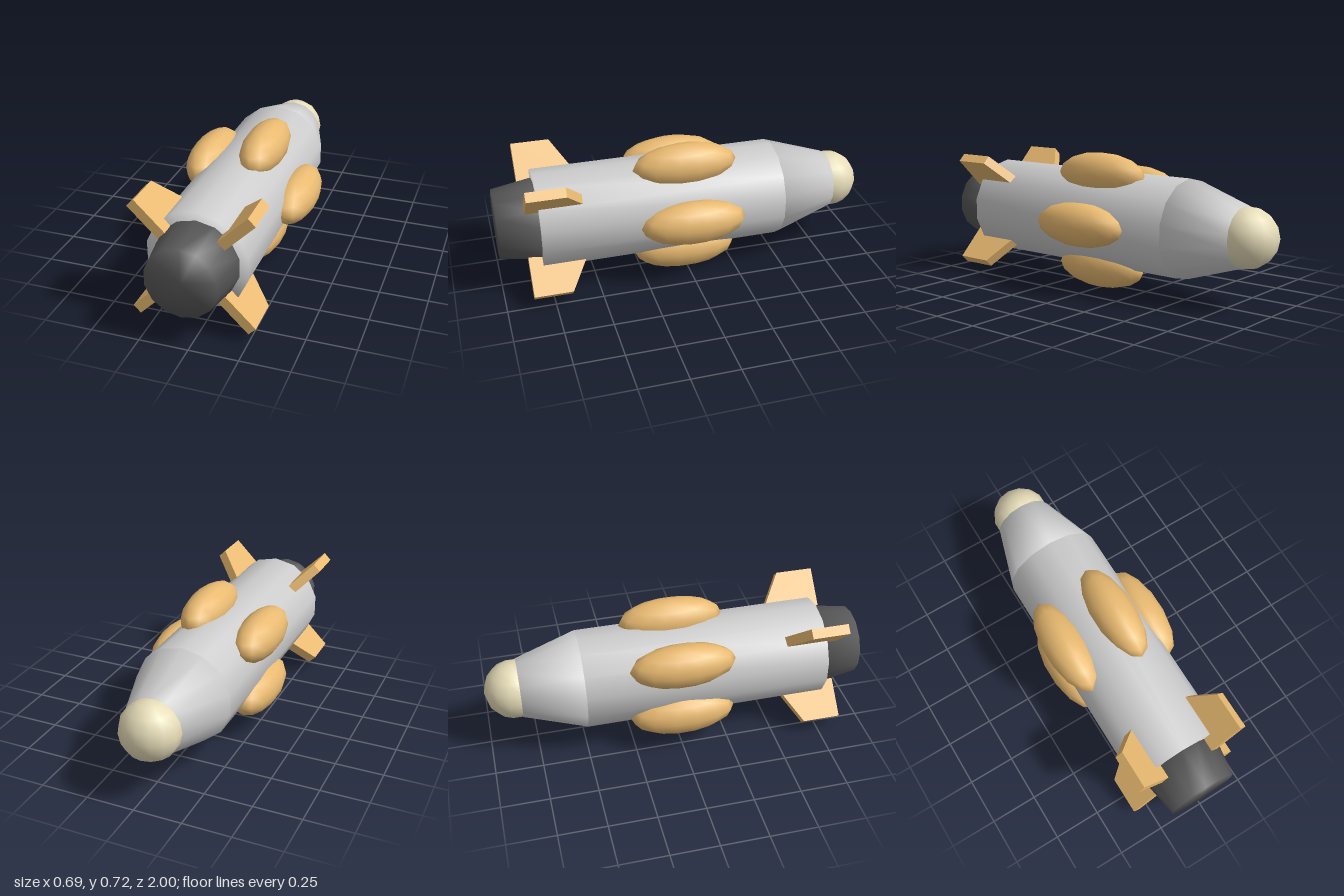
import * as THREE from 'three';
import { mergeVertices } from 'three/addons/utils/BufferGeometryUtils.js';

const SIDES = 14;
const AXIS = { x: -0.025, y: 0.366 };

// One shared normal per corner, so shading blends over every edge
function soften(geometry) {
  geometry.deleteAttribute('normal');
  geometry.deleteAttribute('uv');
  const merged = mergeVertices(geometry, 1e-4);
  merged.computeVertexNormals();
  return merged;
}

function material(color, flatShading = false) {
  return new THREE.MeshStandardMaterial({ color, flatShading });
}

export function createModel() {
  const model = new THREE.Group();
  const hull = material(0xcccccc);
  const dark = material(0x585858);
  const cream = material(0xe6dcb8);
  const amber = material(0xe8b970);
  const amberFlat = material(0xe8b970, true);

  function add(name, geometry, mat, x, y, z) {
    const mesh = new THREE.Mesh(geometry, mat);
    mesh.name = name;
    mesh.position.set(x, y, z);
    model.add(mesh);
    return mesh;
  }

  // Capped tube along z, from zBack (radius rBack) to zFront (radius rFront)
  function section(name, rBack, rFront, zBack, zFront, mat) {
    const g = new THREE.CylinderGeometry(rBack, rFront, zFront - zBack, SIDES);
    g.rotateX(-Math.PI / 2);
    add(name, soften(g), mat, AXIS.x, AXIS.y, (zBack + zFront) / 2);
  }

  // Ball with its poles on y and a corner on the z axis
  function ball(rx, ry, rz) {
    const g = new THREE.SphereGeometry(1, SIDES, 8);
    g.rotateY(Math.PI / 2);
    g.scale(rx, ry, rz);
    return soften(g);
  }

  // Fuselage
  section('body', 0.26, 0.26, -0.5, 0.79, hull);
  section('shoulderCone', 0.157, 0.26, -0.82, -0.5, hull);
  section('nozzle', 0.22, 0.182, 0.76, 1, dark);
  add('noseBall', ball(0.155, 0.153, 0.155), cream, AXIS.x, AXIS.y, -0.845);

  // Five pods in a ring around the body
  const podGeometry = ball(0.113, 0.115, 0.278);
  for (let i = 0; i < 5; i++) {
    const a = (i * Math.PI * 2) / 5;
    add('pod' + (i + 1), podGeometry, amber,
      AXIS.x + 0.26 * Math.cos(a), AXIS.y + 0.26 * Math.sin(a), 0.007);
  }

  // Four swept fins on the diagonals; the profile is radius by z
  const profile = new THREE.Shape([
    new THREE.Vector2(0.206, 0.54),
    new THREE.Vector2(0.415, 0.66),
    new THREE.Vector2(0.415, 0.86),
    new THREE.Vector2(0.206, 0.86),
  ]);
  const finGeometry = new THREE.ExtrudeGeometry(profile, { depth: 0.052, bevelEnabled: false });
  finGeometry.translate(0, 0, -0.026);
  finGeometry.rotateX(Math.PI / 2);
  for (let i = 0; i < 4; i++) {
    const fin = add('fin' + (i + 1), finGeometry, amberFlat, AXIS.x, AXIS.y, 0);
    fin.rotation.z = Math.PI / 4 + (i * Math.PI) / 2;
  }

  return model;
}
